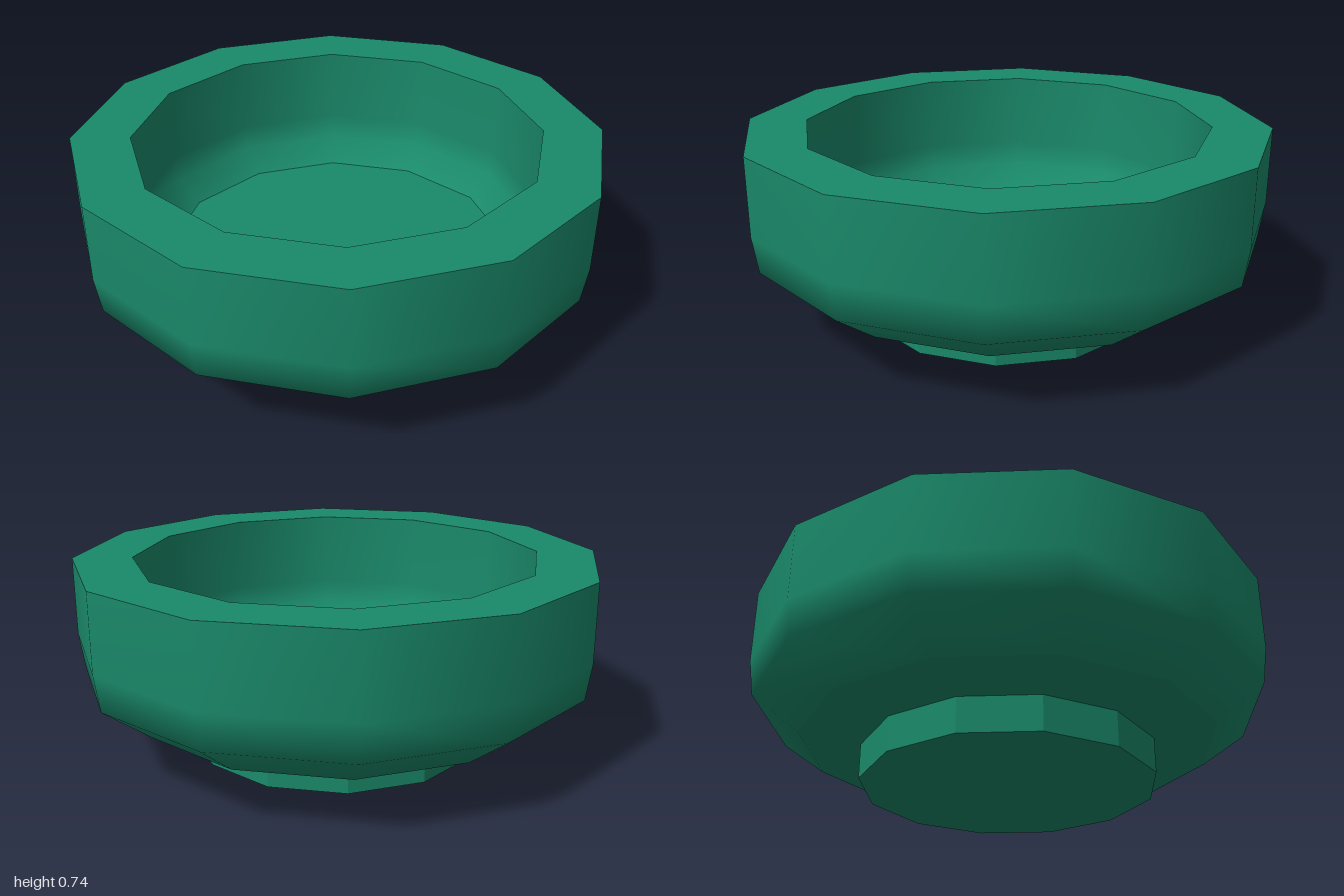
import * as THREE from 'three';

const SIDES = 12;

export function createModel() {
  const bowl = new THREE.Group();
  bowl.name = 'bowl';
  const smooth = new THREE.MeshStandardMaterial({ color: 0x1a8a6a });
  const faceted = new THREE.MeshStandardMaterial({ color: 0x1a8a6a, flatShading: true });

  // Turned section: smooth within itself, sharp where it meets the next one
  function turned(name, profile) {
    const points = profile.map(([r, y]) => new THREE.Vector2(r, y));
    const mesh = new THREE.Mesh(new THREE.LatheGeometry(points, SIDES), smooth);
    mesh.name = name;
    bowl.add(mesh);
  }

  turned('underside', [[0.5, 0.125], [0.8, 0.165]]);
  turned('outerWall', [[0.8, 0.165], [0.98, 0.3], [1, 0.44], [1, 0.735]]);
  turned('rim', [[1, 0.735], [0.775, 0.735]]);
  turned('innerWall', [[0.775, 0.735], [0.775, 0.44], [0.76, 0.34], [0.67, 0.25]]);
  turned('floor', [[0.67, 0.25], [0, 0.25]]);

  // Faceted foot under the bowl
  const foot = new THREE.Mesh(new THREE.CylinderGeometry(0.565, 0.565, 0.14, SIDES), faceted);
  foot.name = 'foot';
  foot.position.y = 0.07;
  bowl.add(foot);

  return bowl;
}
